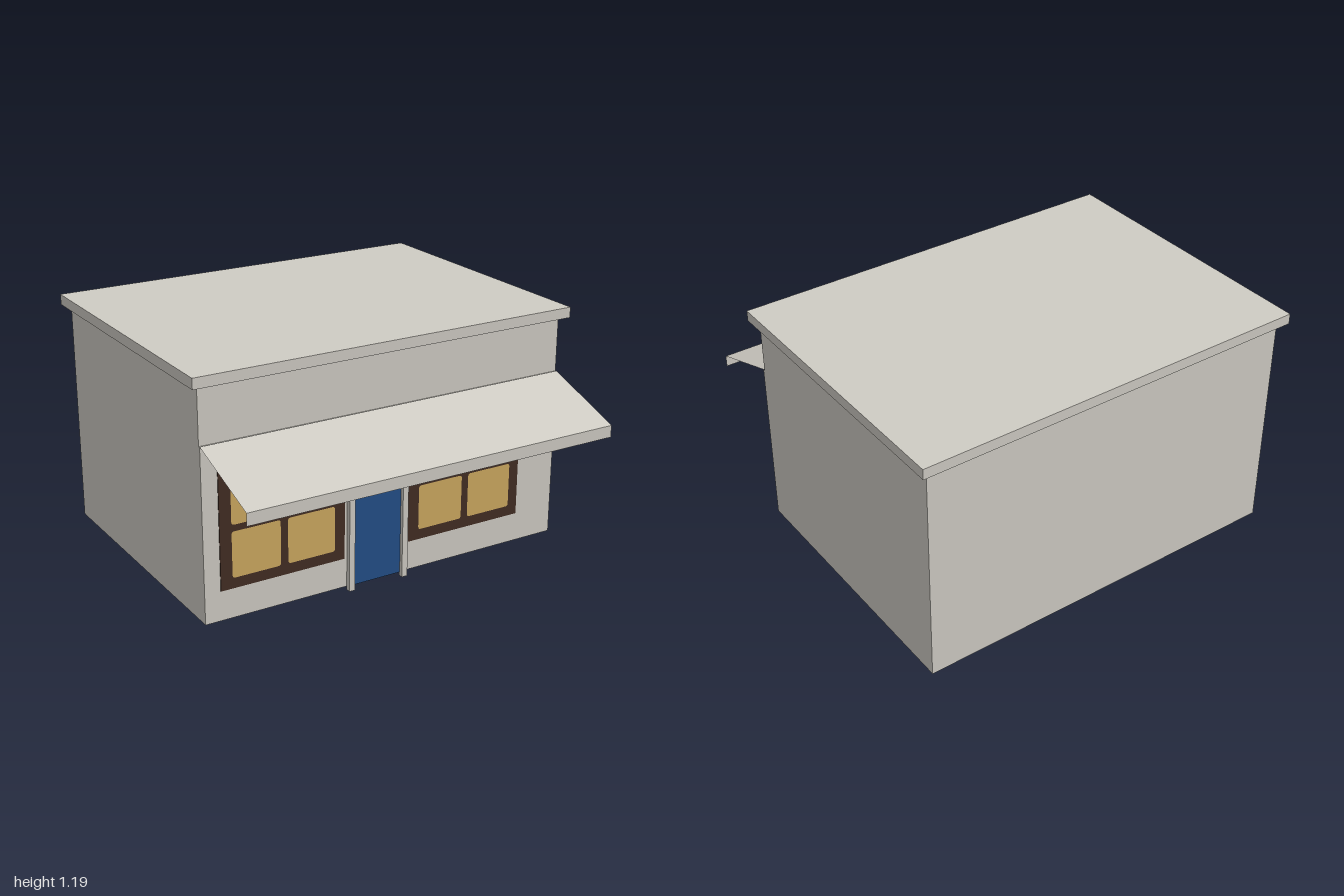
import * as THREE from 'three';

const mat = (name, color, side = THREE.FrontSide) => {
  const m = new THREE.MeshStandardMaterial({ color, side });
  m.name = name;
  return m;
};

export function createModel() {
  const plaster = mat('plaster', 0xcfccc4, THREE.DoubleSide);
  const wood = mat('dark wood', 0x422d23);
  const glass = mat('warm glass', 0xcda960);
  const blue = mat('blue paint', 0x234f88);
  const shop = new THREE.Group();
  shop.name = 'shop';

  // Box given by its min and max corners
  const box = (name, m, [x0, y0, z0], [x1, y1, z1], parent = shop) => {
    const mesh = new THREE.Mesh(new THREE.BoxGeometry(x1 - x0, y1 - y0, z1 - z0), m);
    mesh.position.set((x0 + x1) / 2, (y0 + y1) / 2, (z0 + z1) / 2);
    mesh.name = name;
    parent.add(mesh);
  };

  // Building body and roof
  box('walls', plaster, [-0.963, 0.018, -0.885], [0.96, 1.14, 0.5]);
  box('shopFront', plaster, [-0.963, 0.018, 0.5], [0.96, 0.866, 0.51]);
  box('roofSlab', plaster, [-1, 1.138, -0.925], [1, 1.19, 0.537]);

  // Awning: sloping sheet with a hanging valance
  const awning = new THREE.Group();
  awning.name = 'awning';
  const sheet = (name, [ya, za], [yb, zb]) => {
    const l = -0.963, r = 0.96;
    const g = new THREE.BufferGeometry();
    g.setAttribute('position', new THREE.Float32BufferAttribute(
      [l, ya, za, l, yb, zb, r, yb, zb, r, ya, za], 3));
    g.setIndex([0, 1, 2, 0, 2, 3]);
    g.computeVertexNormals();
    const mesh = new THREE.Mesh(g, plaster);
    mesh.name = name;
    awning.add(mesh);
  };
  sheet('awningSlope', [0.868, 0.51], [0.722, 0.925]);
  sheet('awningValance', [0.722, 0.925], [0.663, 0.925]);
  shop.add(awning);

  // Door with its surround
  box('door', blue, [-0.2, 0.018, 0.51], [0.062, 0.68, 0.515]);
  box('doorPostRight', plaster, [-0.23, 0, 0.51], [-0.2, 0.71, 0.535]);
  box('doorPostLeft', plaster, [0.062, 0, 0.51], [0.092, 0.71, 0.535]);
  box('doorLintel', plaster, [-0.2, 0.68, 0.51], [0.062, 0.71, 0.535]);

  // Pane with softly rounded corners
  const w = 0.246, h = 0.225, r = 0.014;
  const s = new THREE.Shape();
  s.moveTo(r, 0).lineTo(w - r, 0);
  s.quadraticCurveTo(w, 0, w, r).lineTo(w, h - r);
  s.quadraticCurveTo(w, h, w - r, h).lineTo(r, h);
  s.quadraticCurveTo(0, h, 0, h - r).lineTo(0, r);
  s.quadraticCurveTo(0, 0, r, 0);
  const paneGeometry = new THREE.ShapeGeometry(s, 4);

  // Two four-pane windows
  for (const [name, x] of [['windowRight', -0.884], ['windowLeft', 0.105]]) {
    const win = new THREE.Group();
    win.name = name;
    box('windowFrame', wood, [x, 0.165, 0.51], [x + 0.64, 0.753, 0.514], win);
    for (const px of [0.058, 0.341]) for (const py of [0.217, 0.474]) {
      const pane = new THREE.Mesh(paneGeometry, glass);
      pane.name = 'pane';
      pane.position.set(x + px, py, 0.516);
      win.add(pane);
    }
    shop.add(win);
  }
  return shop;
}
